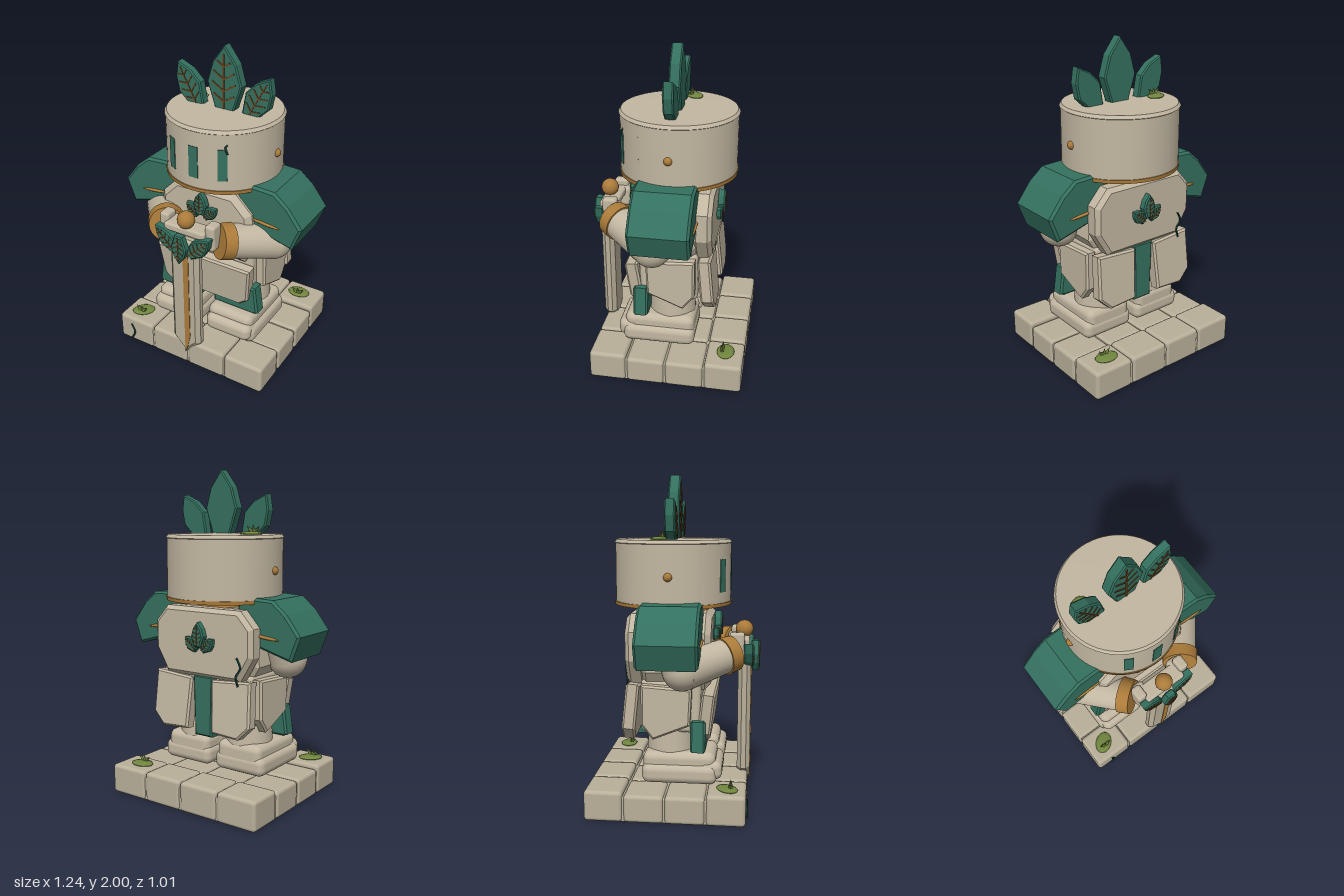
import * as THREE from 'three';
import { toCreasedNormals } from 'three/addons/utils/BufferGeometryUtils.js';
import { RoundedBoxGeometry } from 'three/addons/geometries/RoundedBoxGeometry.js';
import { ConvexGeometry } from 'three/addons/geometries/ConvexGeometry.js';

const mat = (name, color) => Object.assign(new THREE.MeshStandardMaterial({ color }), { name });
const stone = mat('warm stone', 0xc2b7a1);
const slab = mat('slab stone', 0xb9b09a);
const green = mat('deep green', 0x34705f);
const gold = mat('old gold', 0xab7b3a);
const brown = mat('vein brown', 0x6b4420);
const moss = mat('moss', 0x71863f);
const dark = mat('crack green', 0x173f38);
const V = (x, y, z) => new THREE.Vector3(x, y, z);

export function createModel() {
  const root = new THREE.Group();
  const add = (name, geo, m, x = 0, y = 0, z = 0, parent = root) => {
    const mesh = new THREE.Mesh(geo, m);
    mesh.name = name;
    mesh.position.set(x, y, z);
    parent.add(mesh);
    return mesh;
  };
  // box given by its limits, with rounded edges
  const block = (name, m, x0, x1, y0, y1, z0, z1, r = 0.02) =>
    add(name, new RoundedBoxGeometry(x1 - x0, y1 - y0, z1 - z0, 3, r), m,
      (x0 + x1) / 2, (y0 + y1) / 2, (z0 + z1) / 2);
  // outline in x,y made into a bevelled plate from z0 to z1
  const plateGeo = (pts, z0, z1, b = 0.012) => {
    const shape = new THREE.Shape(pts.map(p => new THREE.Vector2(...p)));
    const g = new THREE.ExtrudeGeometry(shape, {
      depth: z1 - z0 - 2 * b, bevelEnabled: b > 0, bevelSize: b, bevelThickness: b, bevelOffset: -b, bevelSegments: 1 });
    return g.translate(0, 0, z0 + b);
  };
  const mirror = pts => [...pts, ...pts.filter(p => p[0] !== 0).reverse().map(([x, y]) => [-x, y])];
  const flip = (pts, s) => pts.map(([x, y]) => [x * s, y]);
  // tapered round limb between two points
  const limb = (name, m, a, b, ra, rb) => {
    const mesh = add(name, new THREE.CylinderGeometry(rb, ra, a.distanceTo(b), 32), m);
    mesh.position.copy(a).lerp(b, 0.5);
    mesh.quaternion.setFromUnitVectors(V(0, 1, 0), b.clone().sub(a).normalize());
  };
  // leaf growing along local +y, with raised veins on its front
  const leaf = (name, len, w, thick, x, y, z, turn, parent = root) => {
    const g = new THREE.Group();
    g.name = name;
    g.position.set(x, y, z);
    g.rotation.z = turn;
    parent.add(g);
    add('leafBlade', plateGeo(mirror([[w * 0.5, 0], [w, len * 0.43], [w * 0.68, len * 0.74], [0, len]]),
      -thick / 2, thick / 2, Math.min(0.008, thick / 4)), green, 0, 0, 0, g);
    const t = len * 0.025, f = thick / 2 + 0.001;
    add('leafMidrib', new THREE.BoxGeometry(t, len * 0.85, 0.006), brown, 0, len * 0.45, f, g);
    for (const s of [1, -1]) for (let i = 0; i < 4; i++) {
      const l = w * [0.7, 0.8, 0.7, 0.45][i];
      add('leafVein', new THREE.BoxGeometry(l, t, 0.006), brown,
        s * l * 0.42, len * (0.22 + i * 0.17), f, g).rotation.z = s * 0.55;
    }
  };
  const emblem = (name, y, z, turn) => {
    const g = new THREE.Group();
    g.name = name;
    g.position.set(0, y, z);
    g.rotation.y = turn;
    root.add(g);
    leaf('emblemLeaf', 0.15, 0.045, 0.05, 0, -0.04, 0.008, 0, g);
    for (const s of [1, -1]) leaf('emblemLeaf', 0.11, 0.04, 0.04, s * 0.02, -0.06, 0, -s * 0.85, g);
  };
  const crack = (name, pts) => add(name, new THREE.TubeGeometry(
    new THREE.CatmullRomCurve3(pts.map(p => V(...p))), 16, 0.006, 5), dark);
  const mossPatch = (x, y, z, r, turn) => {
    const m = add('mossPatch', new THREE.SphereGeometry(1, 20, 10), moss, x, y, z);
    m.scale.set(r, 0.014, r * 0.72);
    m.rotation.y = turn;
    for (const i of [-1, 0, 1])
      add('mossSprig', new THREE.ConeGeometry(0.016, 0.05, 4), moss, x + i * 0.026, y + 0.025, z + 0.02).rotation.z = -i * 0.7;
  };

  // paved base
  const zs = [-0.51, -0.275, -0.035, 0.205, 0.44];
  block('baseCore', slab, -0.525, 0.525, 0, 0.15, -0.495, 0.425, 0.01);
  for (let r = 0; r < 4; r++) for (let c = 0; c < 4; c++) {
    const x = -0.54 + c * 0.27, inner = r === 1 || r === 2;
    block('baseTile', slab, x + 0.003, x + 0.267, 0, inner ? 0.165 : 0.183, zs[r] + 0.004, zs[r + 1] - 0.004, 0.022);
  }
  crack('baseCrack', [[-0.44, 0.14, 0.442], [-0.415, 0.08, 0.442], [-0.44, 0.02, 0.442]]);
  mossPatch(0.385, 0.187, -0.395, 0.075, 0);
  mossPatch(-0.42, 0.187, 0.325, 0.075, 0.7);

  // legs, boots, side armour and arms
  for (const s of [1, -1]) {
    const X = (a, b) => s > 0 ? [a, b] : [-b, -a];
    block('bootSole', stone, ...X(0.02, 0.375), 0.18, 0.30, -0.19, 0.26, 0.045);
    block('bootUpper', stone, ...X(0.035, 0.35), 0.22, 0.368, -0.185, 0.25, 0.045);
    block('bootToe', stone, ...X(0.04, 0.36), 0.205, 0.32, 0.15, 0.29, 0.045);
    add('leg', new THREE.CylinderGeometry(0.13, 0.15, 0.3, 24), stone, s * 0.18, 0.45, -0.03);
    add('kneePlate', plateGeo(flip([[0.37, 0.38], [0.345, 0.56], [0.27, 0.565], [0.225, 0.46], [0.05, 0.43], [0.05, 0.37], [0.34, 0.37]], s), 0.10, 0.19), green);
    const side = plateGeo([[0.11, 0.76], [-0.19, 0.78], [-0.19, 0.54], [-0.12, 0.45], [0.10, 0.54]], 0.30, 0.37);
    if (s > 0) side.translate(0, 0, -0.67);
    add('sideTasset', side, stone).rotation.y = -Math.PI / 2;
    const back = add('backTasset', plateGeo(flip([[0.07, 0.17], [0.35, 0.19], [0.36, -0.08], [0.28, -0.16], [0.09, -0.15]], s), -0.05, 0.03), stone, 0, 0.59, -0.25);
    back.rotation.x = 0.1;

    // pauldron
    add('pauldron', plateGeo(flip([[0.2, 1.22], [0.3, 1.262], [0.44, 1.255], [0.53, 1.18], [0.622, 1.06], [0.565, 0.91], [0.28, 0.99], [0.2, 1.05]], s), -0.195, 0.165, 0.015), green);
    for (const z of [0.165, -0.195]) {
      const trim = add('pauldronTrim', new THREE.SphereGeometry(1, 16, 8), gold, s * 0.39, 1.04, z);
      trim.scale.set(0.1, 0.01, 0.012);
      trim.rotation.z = -s * 0.1;
    }

    // arm, cuff and hand
    const elbow = V(s * 0.395, 0.88, 0.06), wrist = V(s * 0.15, 0.96, 0.39);
    const at = t => elbow.clone().lerp(wrist, t);
    limb('upperArm', stone, V(s * 0.38, 1.12, -0.02), elbow, 0.11, 0.12);
    add('elbow', new THREE.SphereGeometry(0.12, 32, 20), stone, ...elbow.toArray());
    limb('forearm', stone, elbow, at(0.8), 0.12, 0.1);
    limb('cuff', gold, at(0.68), at(0.86), 0.113, 0.107);
    block('hand', stone, ...X(0.09, 0.19), 0.9, 1.03, 0.3, 0.41, 0.025);
    block('finger', stone, ...X(0.125, 0.19), 0.98, 1.07, 0.32, 0.41, 0.018);
    leaf('guardLeaf', 0.2, 0.055, 0.06, s * 0.045, 0.865, 0.435, -s * 0.79);
    add('helmetRivet', new THREE.SphereGeometry(0.026, 16, 10), gold, s * 0.35, 1.41, -0.03);
  }

  // hips and torso
  block('hips', stone, -0.31, 0.31, 0.48, 0.8, -0.2, 0.16, 0.03);
  const front = add('frontTasset', plateGeo(mirror([[0.335, 0.14], [0.31, -0.1], [0.25, -0.15], [0, -0.15]]).concat([[-0.335, 0.14]]).slice(0, -1), -0.04, 0.04), stone, 0, 0.58, 0.19);
  front.rotation.x = 0.12;
  add('backCloth', plateGeo([[-0.075, 0.78], [0.075, 0.78], [0.065, 0.4], [-0.065, 0.4]], -0.27, -0.18), green);
  add('chest', plateGeo(mirror([[0.2, 1.19], [0.31, 1.08], [0.34, 0.85], [0.27, 0.74]]), -0.2, 0.215, 0.035), stone);
  add('backPlate', plateGeo(mirror([[0.27, 1.19], [0.36, 1.09], [0.36, 0.92], [0.27, 0.77]]), -0.285, -0.17, 0.025), stone);
  emblem('chestEmblem', 1.07, 0.235, 0);
  emblem('backEmblem', 1.0, -0.295, Math.PI);
  crack('backCrack', [[-0.26, 0.92, -0.287], [-0.285, 0.86, -0.287], [-0.255, 0.81, -0.287], [-0.27, 0.75, -0.287]]);

  // sword
  add('swordBlade', plateGeo([[0, 0.1], [0.1, 0.2], [0.1, 0.95], [-0.1, 0.95], [-0.1, 0.2]], 0.37, 0.45, 0.025), slab);
  add('swordFuller', plateGeo([[0, 0.11], [0.02, 0.16], [0.038, 0.25], [0.038, 0.9], [0, 0.9]], 0.446, 0.454, 0), gold);
  block('swordGuard', stone, -0.14, 0.14, 0.98, 1.03, 0.33, 0.44, 0.015);
  add('swordPommel', new THREE.SphereGeometry(0.054, 24, 16), gold, 0, 1.07, 0.405);
  leaf('guardLeaf', 0.19, 0.052, 0.05, 0, 1.0, 0.475, Math.PI);

  // helmet: shell with an open front, filled by the faceted visor
  const cz = -0.037, R = 0.355, cut = 1.016;
  add('neck', new THREE.CylinderGeometry(0.18, 0.2, 0.1, 32), gold, 0, 1.19, cz + 0.03);
  add('helmetShell', new THREE.CylinderGeometry(R, R, 0.36, 64, 1, cut, 2 * Math.PI - 2 * cut), stone, 0, 1.42, cz);
  add('helmetRim', new THREE.CylinderGeometry(R + 0.006, R + 0.004, 0.022, 64), gold, 0, 1.236, cz);
  const lid = [[0, 1.585], [0.34, 1.585], [0.36, 1.6], [0.347, 1.619], [0, 1.624]].map(p => new THREE.Vector2(...p));
  add('helmetLid', toCreasedNormals(new THREE.LatheGeometry(lid, 64), 0.4), stone, 0, 0, cz);
  const arc = x => cz + Math.sqrt(R * R - x * x);
  const visor = [];
  for (const x of [-0.2, -0.135, -0.035, 0.035, 0.135, 0.2])
    for (const y of [1.3, 1.515]) visor.push(V(x, y, arc(x)));
  for (const x of [-0.302, 0.302]) for (const y of [1.245, 1.595]) visor.push(V(x, y, 0.15));
  add('visor', new ConvexGeometry(visor), stone);
  for (const [x0, x1] of [[-0.195, -0.14], [-0.03, 0.03], [0.14, 0.195]]) {
    const slit = add('visorSlit', new THREE.BoxGeometry(x1 - x0, 0.195, 0.008), green,
      (x0 + x1) / 2, 1.408, (arc(x0) + arc(x1)) / 2);
    slit.rotation.y = Math.atan2(arc(x0) - arc(x1), x1 - x0);
  }
  crack('visorCrack', [[0.17, 1.575, 0.2], [0.195, 1.55, 0.235], [0.185, 1.52, 0.27], [0.195, 1.48, 0.265]]);
  mossPatch(-0.23, 1.625, -0.095, 0.066, 0.5);

  // plume
  leaf('plumeLeafMiddle', 0.4, 0.115, 0.07, 0.015, 1.6, -0.027, 0);
  leaf('plumeLeafRight', 0.29, 0.085, 0.062, -0.165, 1.6, -0.024, 0.5);
  leaf('plumeLeafLeft', 0.29, 0.085, 0.062, 0.17, 1.6, -0.024, -0.5);
  return root;
}
